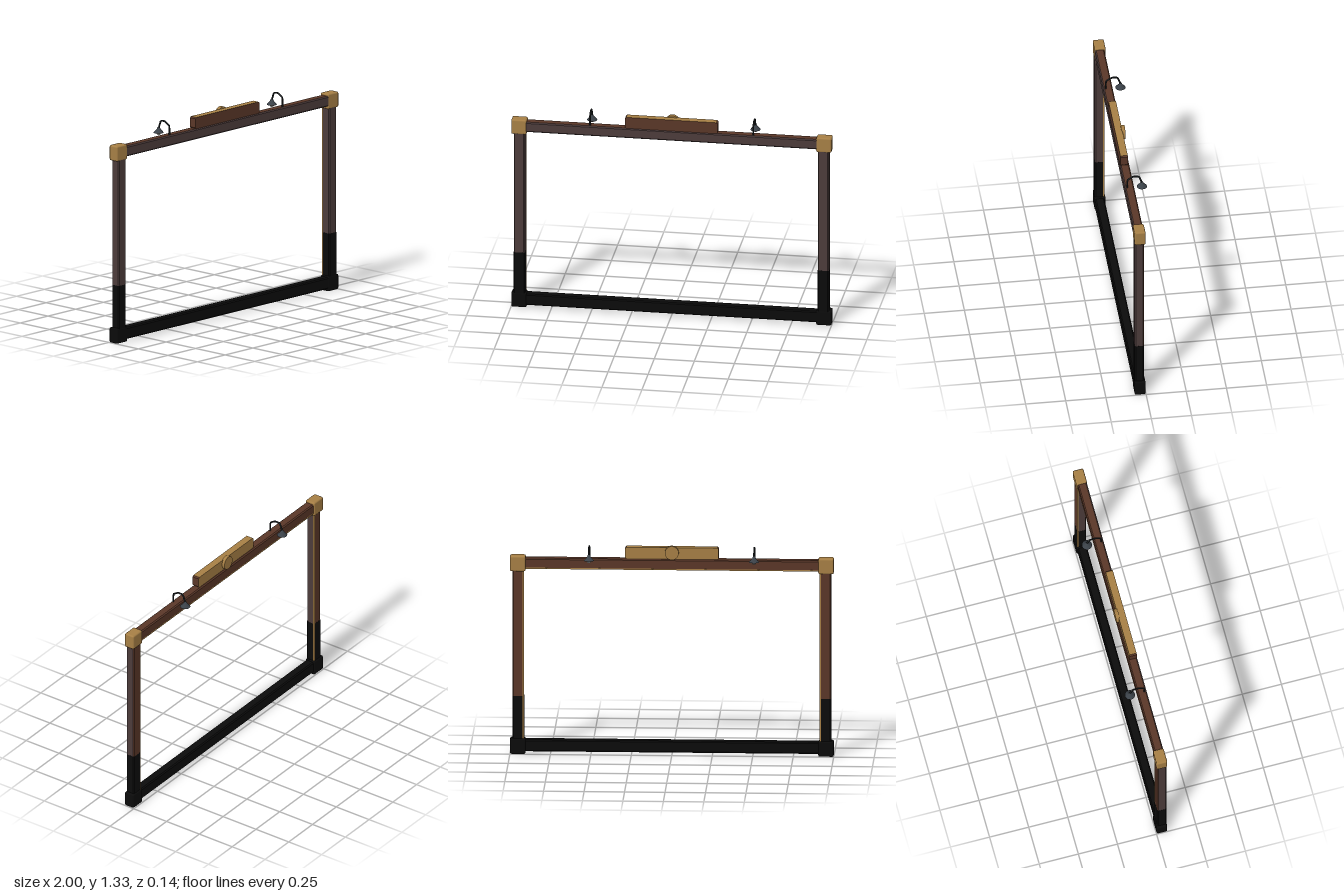
import * as THREE from 'three';
import { RoundedBoxGeometry } from 'three/addons/geometries/RoundedBoxGeometry.js';

const mat = (name, color, side = THREE.FrontSide) => {
  const m = new THREE.MeshStandardMaterial({ color, side });
  m.name = name;
  return m;
};

// Chamfered bar along x. Faces: back, top, front, bottom, +x cap, -x cap.
function bar(length, height, depth, c, [back, top, front, bottom, capA, capB]) {
  const h = height / 2, d = depth / 2, l = length / 2;
  const p = [
    [-d, -h + c], [-d, h - c], [-d + c, h], [d - c, h],
    [d, h - c], [d, -h + c], [d - c, -h], [-d + c, -h],
  ];
  const pos = [], mats = [back, back, top, front, front, front, bottom, back, capA, capB];
  const v = (x, q) => pos.push(x, q[1], q[0]);
  const geo = new THREE.BufferGeometry();
  p.forEach((a, i) => {
    const b = p[(i + 1) % 8];
    v(l, a); v(-l, a); v(-l, b);
    v(l, a); v(-l, b); v(l, b);
    geo.addGroup(i * 6, 6, i);
  });
  for (let i = 1; i < 7; i++) { v(l, p[0]); v(l, p[i]); v(l, p[i + 1]); }
  for (let i = 1; i < 7; i++) { v(-l, p[0]); v(-l, p[i + 1]); v(-l, p[i]); }
  geo.addGroup(48, 18, 8);
  geo.addGroup(66, 18, 9);
  geo.setAttribute('position', new THREE.Float32BufferAttribute(pos, 3));
  geo.computeVertexNormals();
  return new THREE.Mesh(geo, mats);
}

export function createModel() {
  const root = new THREE.Group();
  const grey = mat('greyed wood', 0x4c3c3b);
  const brown = mat('brown wood', 0x5a3728);
  const black = mat('black base', 0x0b0b0b);
  const gold = mat('aged brass', 0xa67f45);
  const iron = mat('dark iron', 0x1e2224);
  const steel = mat('shade metal', 0x3b4249, THREE.DoubleSide);
  const glass = mat('bulb glass', 0xc4c2bc);

  const add = (mesh, name, x, y, z, parent = root) => {
    mesh.name = name;
    mesh.position.set(x, y, z);
    parent.add(mesh);
    return mesh;
  };
  const Z = 0.039, D = 0.058, W = 0.07, X = 0.949;
  const allBlack = Array(6).fill(black);

  // Horizontal beams
  add(bar(1.84, 0.066, D, 0.007, [brown, brown, grey, grey, grey, grey]), 'topBeam', 0, 1.207, Z);
  add(bar(1.84, 0.074, D, 0.007, allBlack), 'bottomBeam', 0, 0.053, Z);

  // Brass trim along the inner rear edge
  const trim = (length) => new THREE.Mesh(new THREE.BoxGeometry(length, 0.008, 0.008), gold);
  add(trim(1.82), 'topTrim', 0, 1.177, Z - D / 2 + 0.0035);

  for (const s of [1, -1]) {
    const side = s > 0 ? 'left' : 'right';
    // Posts, with their outer face turned away from the middle
    const post = add(bar(0.83, W, D, 0.007, [brown, grey, grey, grey, grey, grey]), side + 'Post', s * X, 0.781, Z);
    const foot = add(bar(0.32, W + 0.001, D + 0.001, 0.007, allBlack), side + 'PostBase', s * X, 0.206, Z);
    const strip = add(trim(1.08), side + 'Trim', s * (X - W / 2 + 0.003), 0.63, Z - D / 2 + 0.0035);
    for (const m of [post, foot, strip]) m.rotation.z = -s * Math.PI / 2;

    // Corner blocks
    const block = (m) => new THREE.Mesh(new RoundedBoxGeometry(0.096, 0.097, 0.068, 2, 0.01), m);
    add(block(gold), side + 'TopCorner', s * 0.952, 1.205, 0.036);
    add(block(black), side + 'BottomCorner', s * 0.952, 0.0485, 0.036);

    // Gooseneck lamp reaching over the back
    const lamp = new THREE.Group();
    add(lamp, side + 'Lamp', s * 0.51, 0, 0);
    const path = new THREE.CatmullRomCurve3([
      [1.235, 0.053], [1.27, 0.053], [1.298, 0.05], [1.32, 0.014], [1.316, -0.02], [1.268, -0.038],
    ].map(([y, z]) => new THREE.Vector3(0, y, z)), false, 'catmullrom', 0.2);
    add(new THREE.Mesh(new THREE.TubeGeometry(path, 24, 0.0055, 8), iron), 'arm', 0, 0, 0, lamp);
    const profile = [[0.0005, 0.036], [0.008, 0.034], [0.011, 0.024], [0.026, 0.007], [0.032, 0]]
      .reverse().map(([r, y]) => new THREE.Vector2(r, y));
    add(new THREE.Mesh(new THREE.LatheGeometry(profile, 16), steel), 'shade', 0, 1.24, -0.038, lamp);
    add(new THREE.Mesh(new THREE.SphereGeometry(0.014, 12, 8), glass), 'bulb', 0, 1.238, -0.038, lamp);
  }

  // Header board: brown front and ends, brass top and back
  const board = add(bar(0.046, 0.073, 0.578, 0.008, [brown, gold, brown, gold, brown, gold]),
    'headerBoard', 0, 1.2765, 0.043);
  board.rotation.y = -Math.PI / 2;

  // Round medallion on the back of the header
  const disc = add(new THREE.Mesh(new THREE.CylinderGeometry(0.043, 0.043, 0.024, 24), gold),
    'medallion', 0, 1.282, 0.014);
  disc.rotation.x = Math.PI / 2;

  return root;
}
